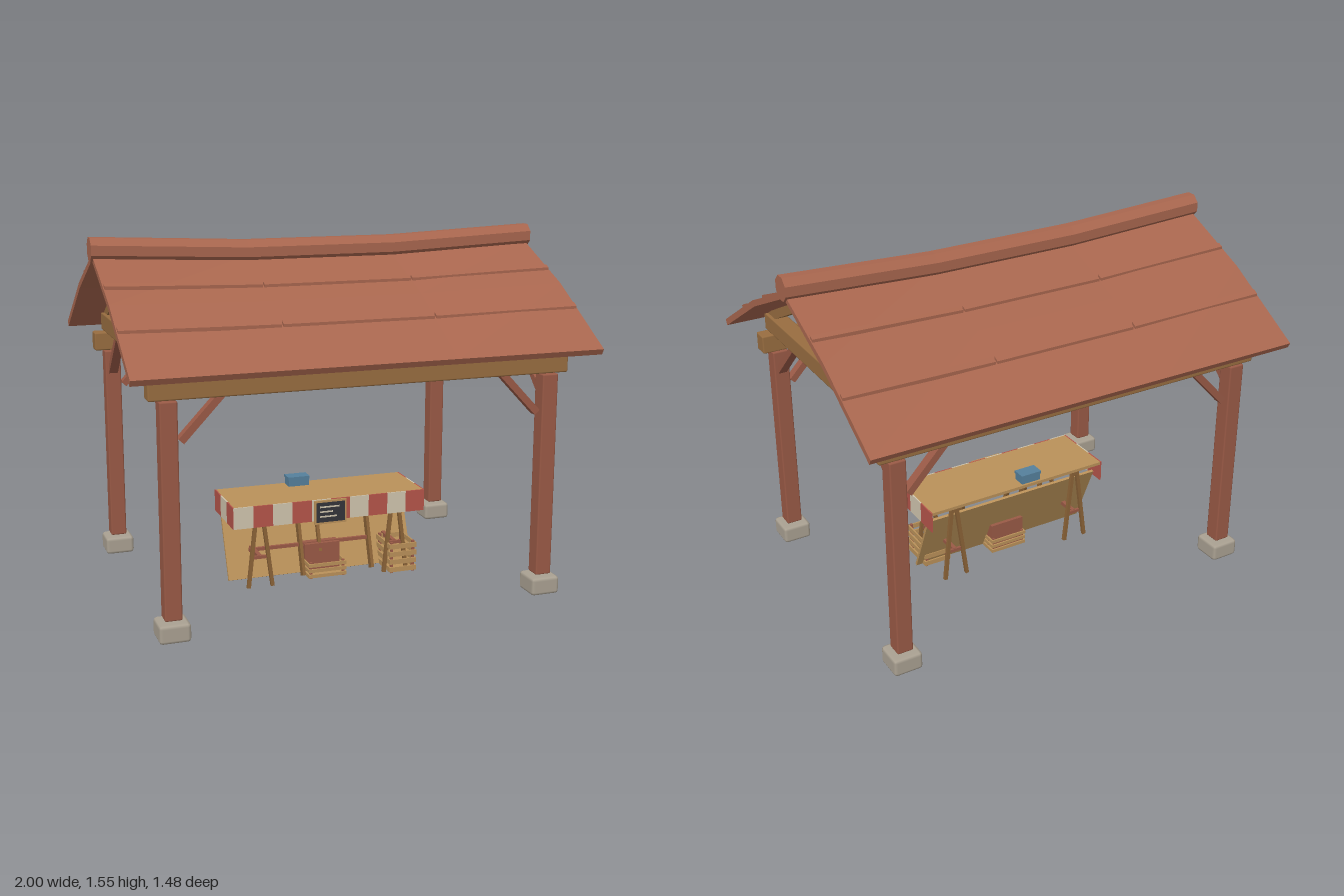
import * as THREE from 'three';
import { RoundedBoxGeometry } from 'three/addons/geometries/RoundedBoxGeometry.js';

const paint = (name, color) => {
  const m = new THREE.MeshStandardMaterial({ color });
  m.name = name;
  return m;
};

export function createModel() {
  const model = new THREE.Group();
  const roofRed = paint('roofRed', 0xa8664e);
  const timberRed = paint('timberRed', 0x9a5a46);
  const beamOchre = paint('beamOchre', 0x986d40);
  const paleWood = paint('paleWood', 0xba9159);
  const legBrown = paint('legBrown', 0x8a6237);
  const stone = paint('stone', 0xaaa192);
  const clothRed = paint('clothRed', 0xb5554a);
  const clothCream = paint('clothCream', 0xd0c5ae);
  const blue = paint('blue', 0x55809c);
  const charcoal = paint('charcoal', 0x34343a);

  const add = (name, geo, mat, x = 0, y = 0, z = 0, parent = model) => {
    const mesh = new THREE.Mesh(geo, mat);
    mesh.name = name;
    mesh.position.set(x, y, z);
    parent.add(mesh);
    return mesh;
  };
  const box = (name, mat, w, h, d, x, y, z, parent) =>
    add(name, new THREE.BoxGeometry(w, h, d), mat, x, y, z, parent);
  const timber = (name, mat, w, h, d, x, y, z, r = 0.007) =>
    add(name, new RoundedBoxGeometry(w, h, d, 1, r), mat, x, y, z);
  // Straight bar between two points
  const bar = (name, mat, a, b, w, d = w, parent = model) => {
    const p = new THREE.Vector3(...a), q = new THREE.Vector3(...b);
    const mesh = box(name, mat, w, p.distanceTo(q), d, 0, 0, 0, parent);
    mesh.position.copy(p).lerp(q, 0.5);
    mesh.quaternion.setFromUnitVectors(new THREE.Vector3(0, 1, 0), q.sub(p).normalize());
    return mesh;
  };
  // Move every vertex by a rule, then facet the result
  const reshape = (geo, rule) => {
    const p = geo.attributes.position, v = new THREE.Vector3();
    for (let i = 0; i < p.count; i++) {
      rule(v.fromBufferAttribute(p, i));
      p.setXYZ(i, v.x, v.y, v.z);
    }
    const flat = geo.toNonIndexed();
    flat.computeVertexNormals();
    return flat;
  };

  // Frame: footings, posts, beams, braces
  const px = 0.82, pz = 0.575;
  for (const sx of [-1, 1]) {
    for (const sz of [-1, 1]) {
      timber('footing', stone, 0.13, 0.08, 0.13, sx * px, 0.04, sz * pz, 0.015);
      timber('post', timberRed, 0.072, 0.89, 0.072, sx * px, 0.53, sz * pz);
      bar('sideBrace', timberRed, [sx * 0.77, 0.81, sz * pz], [sx * 0.6, 0.99, sz * pz], 0.03, 0.04);
      bar('gableBrace', timberRed, [sx * px, 0.88, sz * 0.55], [sx * px, 1.08, sz * 0.34], 0.04, 0.03);
      bar('rafter', beamOchre, [sx * px, 1.13, sz * 0.59], [sx * px, 1.42, 0], 0.05, 0.04);
    }
    timber('tieBeam', beamOchre, 0.075, 0.08, 1.22, sx * px, 1.107, 0);
    box('kingPost', timberRed, 0.055, 0.3, 0.055, sx * px, 1.29, 0);
  }
  for (const sz of [-1, 1]) timber('eaveBeam', beamOchre, 1.8, 0.083, 0.072, 0, 1.02, sz * pz);

  // Sagging roof: three bays wide, each slope bent once
  const rise = (x) => 0.03 * Math.max(0, Math.min(1, (Math.abs(x) - 0.33) / 0.66));
  const roofTop = (x, z) => {
    const base = z < 0.36 ? 1.45 - (z / 0.36) * 0.145 : 1.305 - ((z - 0.36) / 0.38) * 0.212;
    return base + rise(x) * (1 - z / 0.74);
  };
  for (const side of [0, 1]) {
    const slope = new THREE.Group();
    slope.name = 'roofSlope';
    slope.rotation.y = side * Math.PI;
    model.add(slope);
    const sheet = reshape(new THREE.BoxGeometry(1.98, 1, 2, 3, 1, 2), (v) => {
      const z = [0, 0.36, 0.74][Math.round(v.z) + 1];
      const below = v.y < 0;
      v.y = roofTop(v.x, z) - (below ? 0.024 : 0);
      v.z = z - (below && z > 0 ? 0.013 : 0);
    });
    add('roofSheet', sheet, roofRed, 0, 0, 0, slope);
    // Lap strips across each bay
    for (const z of [0.245, 0.5]) {
      for (const x of [-0.66, 0, 0.66]) {
        const strip = reshape(new THREE.BoxGeometry(0.652, 0.018, 0.022), (v) => {
          v.x += x;
          v.z += z;
          v.y += roofTop(x ? v.x : 0, v.z) + 0.003;
        });
        add('lapStrip', strip, roofRed, 0, 0, 0, slope);
      }
    }
  }
  const ridge = new THREE.CylinderGeometry(0.054, 0.054, 2, 8, 3).rotateY(Math.PI / 8).rotateZ(Math.PI / 2);
  add('ridgePole', reshape(ridge, (v) => { v.y += 1.47 + rise(v.x); }), roofRed);

  // Stall table with striped cloth on the front and ends
  box('tableTop', paleWood, 0.89, 0.014, 0.305, 0, 0.374, 0.003);
  const stripe = 0.0894;
  for (let i = 0; i < 10; i++) {
    box('frontCloth', i % 2 ? clothRed : clothCream, stripe, 0.097, 0.006, (i - 4.5) * stripe, 0.333, 0.157);
  }
  for (const sx of [-1, 1]) {
    for (let i = -1; i <= 1; i++) {
      box('endCloth', i ? clothRed : clothCream, 0.006, 0.097, 0.102, sx * 0.446, 0.333, 0.003 + i * 0.102);
    }
    // Trestle: two splayed leg pairs, rail and stretcher
    const cx = sx * 0.32;
    for (const z of [0.122, -0.118]) {
      const foot = z * 1.08;
      for (const s of [-1, 1]) {
        bar('trestleLeg', legBrown, [cx + s * 0.055, 0, foot], [cx + s * 0.01, 0.365, z], 0.016);
      }
      box('trestleTie', timberRed, 0.07, 0.014, 0.012, cx, 0.135, z);
    }
    box('trestleRail', legBrown, 0.03, 0.025, 0.27, cx, 0.354, 0);
    box('trestleStretcher', timberRed, 0.018, 0.018, 0.24, cx, 0.135, 0);
  }

  // Leaning back panel and the slim props resting on it
  bar('leaningPanel', paleWood, [0, 0.008, 0.035], [0, 0.31, -0.095], 0.88, 0.012);
  for (const x of [-0.1, 0.23]) bar('leaningProp', legBrown, [x, 0.005, 0.07], [x, 0.33, -0.04], 0.014, 0.035);
  bar('shortProp', legBrown, [-0.01, 0.1, 0.04], [-0.01, 0.33, -0.04], 0.014, 0.02);
  box('crossRail', timberRed, 0.57, 0.015, 0.014, -0.055, 0.137, 0.02);

  // Slatted crates
  const crate = (x, z, w, h, d, rows) => {
    const g = new THREE.Group();
    g.name = 'crate';
    g.position.set(x, 0, z);
    model.add(g);
    box('crateFloor', paleWood, w - 0.01, 0.008, d - 0.01, 0, 0.01, 0, g);
    const pitch = h / rows;
    for (const s of [-1, 1]) {
      for (const t of [-1, 1]) {
        box('cratePost', timberRed, 0.012, h, 0.012, s * (w / 2 - 0.013), h / 2, t * (d / 2 - 0.013), g);
      }
      for (let i = 0; i < rows; i++) {
        const y = (i + 0.5) * pitch;
        box('crateSlat', paleWood, w, pitch * 0.62, 0.007, 0, y, s * (d / 2 - 0.0035), g);
        box('crateSlat', paleWood, 0.007, pitch * 0.62, d - 0.014, s * (w / 2 - 0.0035), y, 0, g);
      }
    }
  };
  crate(0.345, 0.085, 0.13, 0.145, 0.17, 4);
  crate(0, 0.03, 0.18, 0.075, 0.18, 3);
  box('redChest', timberRed, 0.165, 0.13, 0.09, 0, 0.075, 0.0);

  // Chalk board on the front cloth
  box('boardFrame', paleWood, 0.15, 0.108, 0.009, -0.005, 0.325, 0.1645);
  box('boardFace', charcoal, 0.132, 0.09, 0.004, -0.005, 0.325, 0.169);
  [[0.09, 0.35], [0.06, 0.328], [0.078, 0.306]].forEach(([w, y]) =>
    box('chalkLine', clothCream, w, 0.007, 0.003, -0.055 + w / 2, y, 0.171));

  // Cash box on the table
  box('cashBox', blue, 0.096, 0.034, 0.058, -0.07, 0.397, -0.11);
  box('cashBoxLid', blue, 0.102, 0.012, 0.064, -0.07, 0.419, -0.11);
  return model;
}
